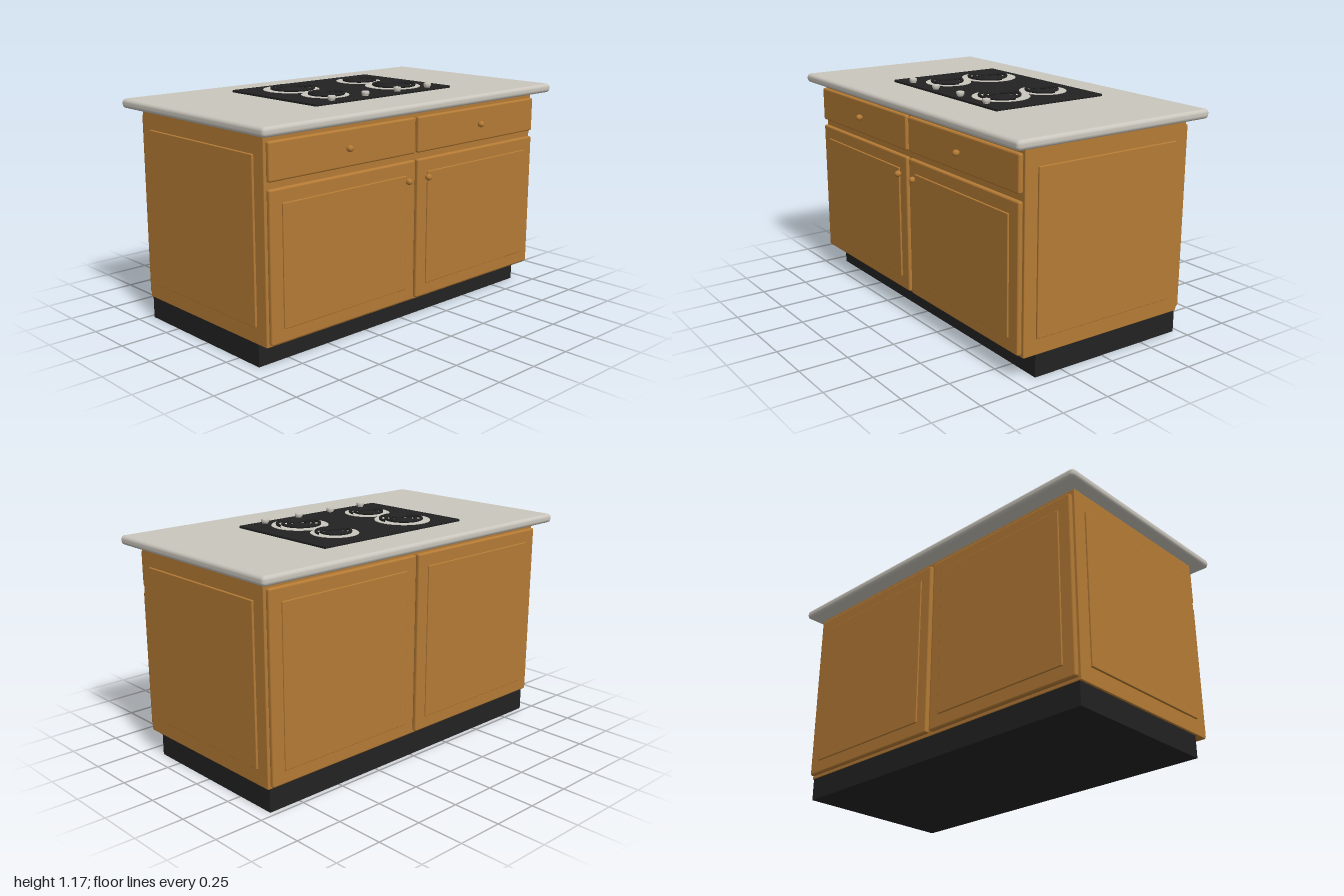
import * as THREE from 'three';
import { RoundedBoxGeometry } from 'three/addons/geometries/RoundedBoxGeometry.js';

const material = (name, color) => {
  const m = new THREE.MeshStandardMaterial({ color });
  m.name = name;
  return m;
};

export function createModel() {
  const wood = material('wood', 0xb57b35);
  const stone = material('stone', 0xcac6bd);
  const black = material('black', 0x222222);

  const root = new THREE.Group();
  root.name = 'kitchenIsland';

  const add = (name, geometry, mat, x = 0, y = 0, z = 0) => {
    const mesh = new THREE.Mesh(geometry, mat);
    mesh.name = name;
    mesh.position.set(x, y, z);
    root.add(mesh);
    return mesh;
  };
  // Box given by its limits, optionally with rounded edges
  const slab = (name, mat, [x0, x1], [y0, y1], [z0, z1], radius = 0) => {
    const size = [x1 - x0, y1 - y0, z1 - z0];
    const geometry = radius
      ? new RoundedBoxGeometry(...size, 2, radius)
      : new THREE.BoxGeometry(...size);
    return add(name, geometry, mat, (x0 + x1) / 2, (y0 + y1) / 2, (z0 + z1) / 2);
  };
  const span = (side, a, b) => (side > 0 ? [a, b] : [-b, -a]);

  // Cabinet, plinth with toe recess, and worktop
  slab('plinth', black, [-0.925, 0.925], [0, 0.12], [-0.473, 0.4]);
  slab('cabinet', wood, [-0.935, 0.935], [0.116, 1.095], [-0.475, 0.475], 0.005);
  slab('worktop', stone, [-1, 1], [1.092, 1.14], [-0.562, 0.562], 0.02);

  // Turned wooden knob, facing the front
  const pull = new THREE.LatheGeometry([
    [0, -0.03], [0.008, -0.03], [0.008, -0.014], [0.014, -0.01], [0.0165, 0],
    [0.014, 0.01], [0.008, 0.0155], [0, 0.017],
  ].map(([r, h]) => new THREE.Vector2(r, h)), 20);
  pull.rotateX(Math.PI / 2);

  for (const side of [-1, 1]) {
    const doorX = span(side, 0.01, 0.925);
    const panelX = span(side, 0.075, 0.857);

    // Front doors and drawers
    slab('frontDoor', wood, doorX, [0.13, 0.85], [0.474, 0.501], 0.01);
    slab('frontDoorPanel', wood, panelX, [0.198, 0.783], [0.49, 0.509], 0.004);
    slab('drawer', wood, doorX, [0.882, 1.062], [0.474, 0.501], 0.01);
    add('doorKnob', pull, wood, side * 0.07, 0.754, 0.517);
    add('drawerKnob', pull, wood, side * 0.466, 0.973, 0.517);

    // Back doors
    slab('backDoor', wood, doorX, [0.13, 1.062], [-0.501, -0.474], 0.01);
    slab('backDoorPanel', wood, panelX, [0.198, 0.995], [-0.508, -0.49], 0.004);

    // Raised side panels
    slab('sidePanel', wood, span(side, 0.925, 0.945), [0.198, 0.996], [-0.406, 0.406], 0.004);
  }

  // Cooktop plate
  slab('cooktop', black, [-0.474, 0.472], [1.138, 1.152], [-0.354, 0.295], 0.004);

  // Flat spiral that winds inward from its outer end on the +x side
  const spiral = (outer, inner, turns) => {
    const points = [];
    const n = Math.round(turns * 20);
    for (let i = 0; i <= n; i++) {
      const r = outer + (inner - outer) * (i / n);
      const a = (i / n) * turns * Math.PI * 2;
      points.push(new THREE.Vector3(r * Math.cos(a), 0, r * Math.sin(a)));
    }
    const curve = new THREE.CatmullRomCurve3(points);
    return new THREE.TubeGeometry(curve, n * 2, 0.0075, 8);
  };

  // Burners: drip pan and heating coil
  for (const [x, z, panRadius, coilRadius, turns] of [
    [-0.24, -0.163, 0.145, 0.118, 3.5],
    [-0.24, 0.098, 0.12, 0.095, 3],
    [0.236, -0.163, 0.12, 0.095, 3],
    [0.236, 0.098, 0.145, 0.118, 3.5],
  ]) {
    add('dripPan', new THREE.CylinderGeometry(panRadius, panRadius, 0.004, 48), stone, x, 1.1525, z);
    add('coil', spiral(coilRadius, 0.02, turns), black, x, 1.161, z);
  }

  // Burner controls
  const control = new THREE.LatheGeometry([
    [0.016, 0], [0.016, 0.006], [0.02, 0.009], [0.02, 0.021], [0.017, 0.024], [0, 0.024],
  ].map(([r, h]) => new THREE.Vector2(r, h)), 20);
  for (const x of [-0.34, -0.115, 0.11, 0.335]) {
    add('burnerControl', control, stone, x, 1.151, 0.255);
  }

  return root;
}
